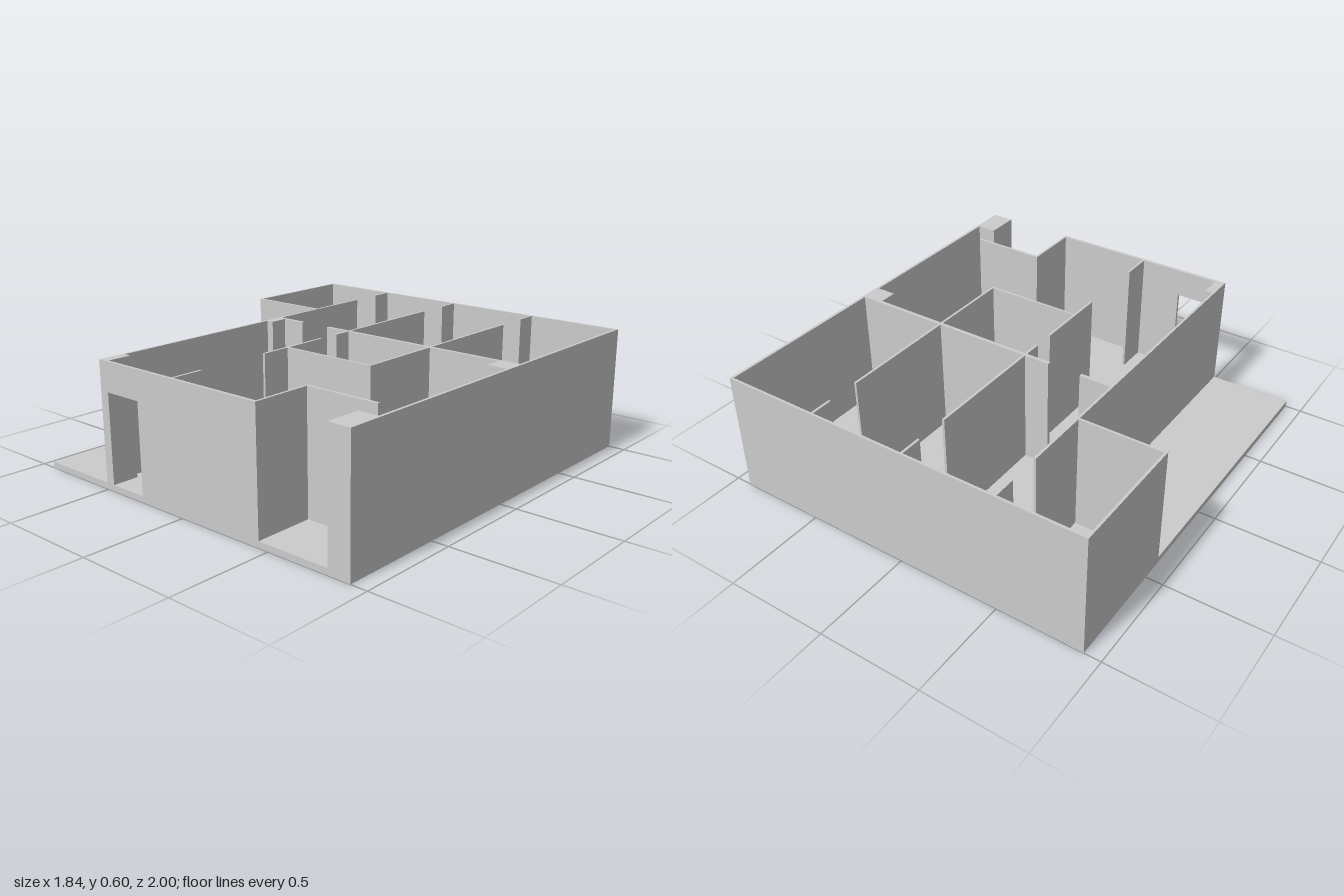
import * as THREE from 'three';

const FLOOR = 0.03, TOP = 0.6, DOOR = 0.46;
const material = new THREE.MeshStandardMaterial({ color: 0xcccccc });

// Box given by its limits on each axis
function block(name, x0, x1, z0, z1, y0 = FLOOR, y1 = TOP) {
  const mesh = new THREE.Mesh(new THREE.BoxGeometry(x1 - x0, y1 - y0, z1 - z0), material);
  mesh.position.set((x0 + x1) / 2, (y0 + y1) / 2, (z0 + z1) / 2);
  mesh.name = name;
  return mesh;
}

export function createModel() {
  const house = new THREE.Group();
  house.name = 'roofless house';
  const add = (...args) => house.add(block(...args));

  // Floor slab, which also carries the open side terrace
  add('floorSlab', -0.92, 0.92, -1, 1, 0, FLOOR);

  // Outer walls
  add('backWall', -0.92, 0.92, -1, -0.988);
  add('rightWall', 0.907, 0.92, -0.988, 1);
  add('annexSideWall', -0.92, -0.908, -0.988, -0.393);
  add('annexFrontWall', -0.908, -0.508, -0.405, -0.393);
  add('leftWall', -0.508, -0.496, -0.72, 1);

  // Front wall with a doorway beside the corner pier
  add('frontWall', -0.26, 0.437, 0.985, 1);
  add('doorLintel', -0.46, -0.26, 0.985, 1, DOOR, TOP);

  // Corner piers of the front rooms
  add('leftFrontPier', -0.496, -0.46, 0.87, 1);
  add('leftRearPier', -0.496, -0.46, -0.108, -0.02);
  add('rightFrontPier', 0.81, 0.907, 0.83, 1);
  add('rightRearPier', 0.81, 0.907, -0.108, -0.02);

  // Recessed porch, entered by the gap next to the front pier
  add('porchSideWall', 0.437, 0.449, 0.7, 1);
  add('porchBackWall', 0.449, 0.81, 0.7, 0.714);

  // Cross wall between back rooms and front rooms, with one gap
  add('crossWallLeft', -0.496, -0.34, -0.126, -0.108);
  add('crossWallRight', -0.175, 0.907, -0.126, -0.108);

  // Back room partitions: a stub, a doorway, then the longer run
  for (const x of [-0.508, -0.05, 0.434]) {
    add('partitionStub', x, x + 0.012, -0.988, -0.88);
    if (x > -0.5) add('backPartition', x, x + 0.012, -0.72, -0.126);
  }

  // Front room partitions
  for (const [z0, z1] of [[-0.108, -0.02], [0.08, 0.46], [0.83, 0.985]]) {
    add('hallPartition', -0.05, -0.038, z0, z1);
  }
  add('smallRoomSideWall', 0.434, 0.446, -0.108, 0.314);
  add('smallRoomFrontWall', -0.038, 0.434, 0.302, 0.314);

  return house;
}
